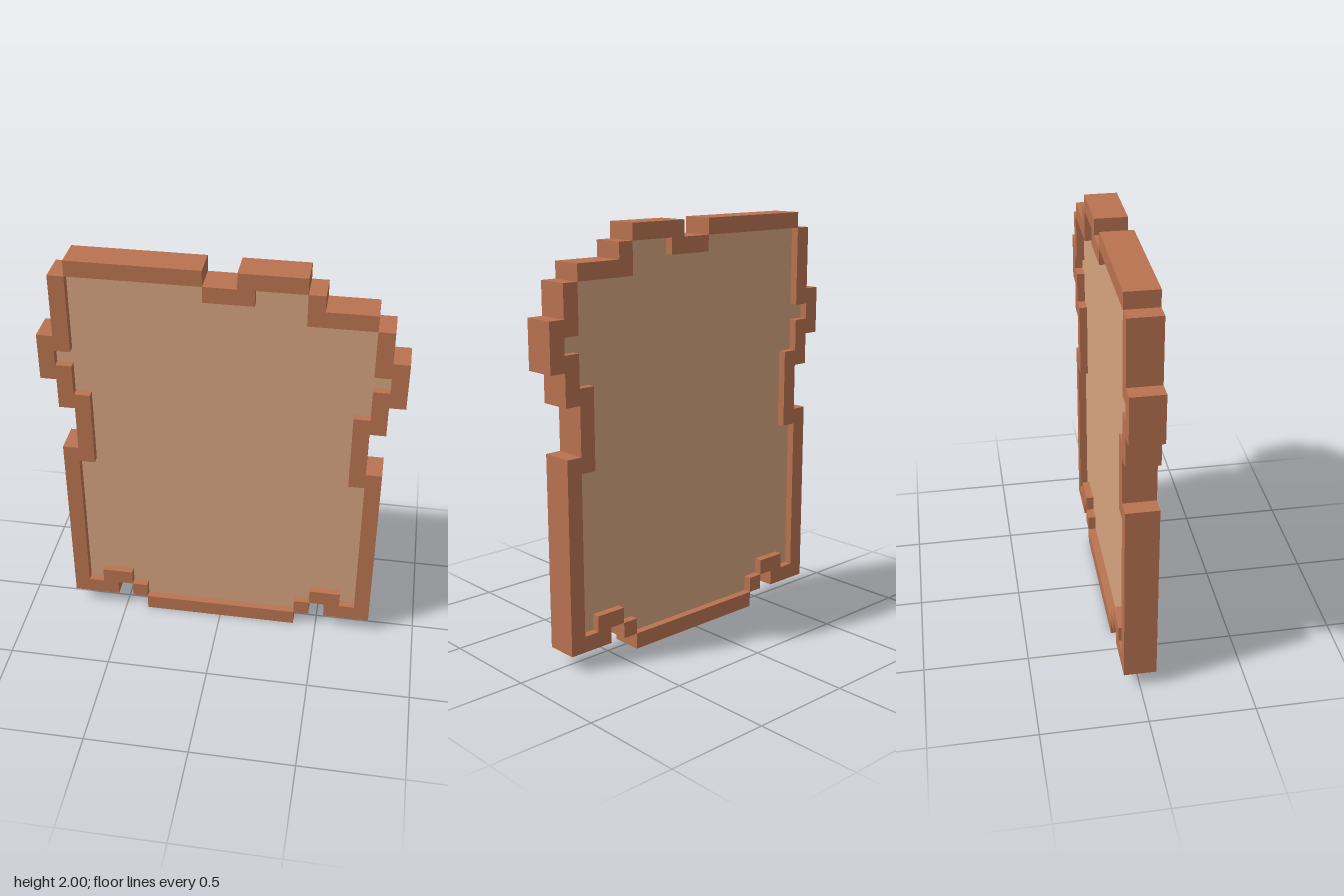
import * as THREE from 'three';

const U = 1 / 13; // one grid cell

const frameMat = new THREE.MeshStandardMaterial({ color: 0xb97350 });
const panelMat = new THREE.MeshStandardMaterial({ color: 0xd6a47e });

// Extrude a grid-cell outline, centred on z = 0
function slab(name, points, depth, material) {
  const shape = new THREE.Shape(points.map(([x, y]) => new THREE.Vector2(x * U, y * U)));
  const geometry = new THREE.ExtrudeGeometry(shape, { depth: depth * U, bevelEnabled: false });
  geometry.translate(0, 0, -depth * U / 2);
  const mesh = new THREE.Mesh(geometry, material);
  mesh.name = name;
  return mesh;
}

const rect = (x0, y0, x1, y1) => [[x0, y0], [x1, y0], [x1, y1], [x0, y1]];
const mirror = (points) => points.map(([x, y]) => [-x, y]).reverse();

// Stepped side rail, from the bottom corner up to the given height
const sideRail = (top) => [
  [7, 1], [10, 1], [10, 13], [9, 13], [9, 16], [10, 16], [10, 18], [11, 18], [11, 21], [10, 21],
  [10, top], [9, top], [9, 20], [10, 20], [10, 19], [9, 19], [9, 17], [8, 17], [8, 12], [9, 12],
  [9, 2], [8, 2], [8, 3], [6, 3], [6, 2], [7, 2],
];

// Inner edge of the right rail, bottom to top
const innerEdge = [
  [5, 1], [5, 2], [6, 2], [6, 3], [8, 3], [8, 2], [9, 2], [9, 12], [8, 12], [8, 17],
  [9, 17], [9, 19], [10, 19], [10, 20], [9, 20],
];

export function createModel() {
  const model = new THREE.Group();
  model.name = 'framedPanel';

  // Raised border
  const frame = new THREE.Group();
  frame.name = 'frame';
  const pieces = {
    leftRail: sideRail(23),
    rightRail: mirror(sideRail(25)),
    bottomRail: rect(-5, 0, 5, 1),
    leftBottomStep: rect(5, 1, 6, 2),
    rightBottomStep: rect(-6, 1, -5, 2),
    topRail: rect(-9, 25, -1, 26),
    topNotch: [[-1, 24], [2, 24], [2, 25], [5, 25], [5, 26], [1, 26], [1, 25], [-1, 25]],
    topCornerStep: [[5, 23], [9, 23], [9, 24], [6, 24], [6, 25], [5, 25]],
  };
  for (const [name, points] of Object.entries(pieces)) {
    frame.add(slab(name, points, 2, frameMat));
  }
  model.add(frame);

  // Thinner sheet, recessed on both faces
  const topEdge = [[9, 23], [5, 23], [5, 25], [2, 25], [2, 24], [-1, 24], [-1, 25], [-9, 25]];
  model.add(slab('panel', [...innerEdge, ...topEdge, ...mirror(innerEdge)], 1, panelMat));

  return model;
}
